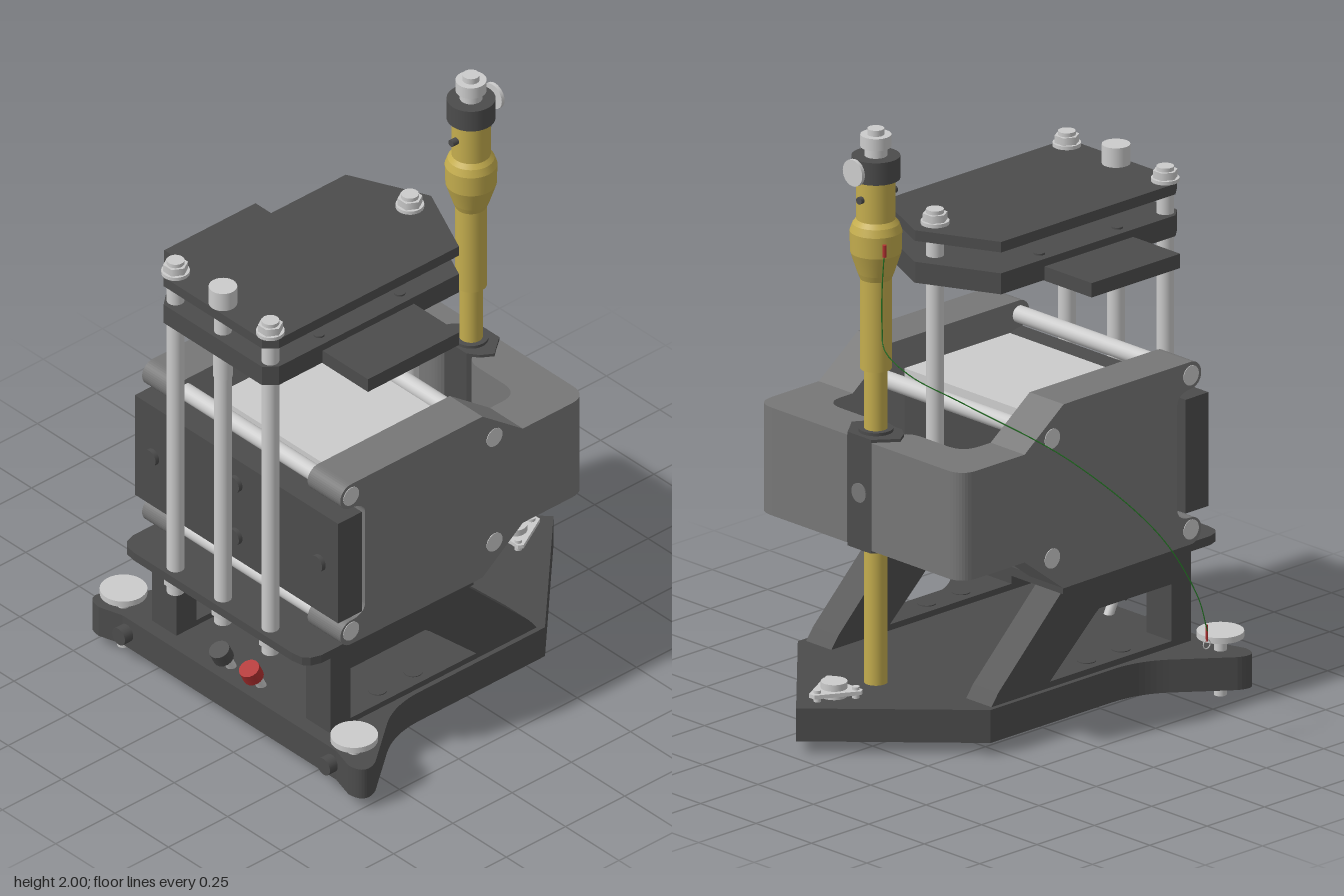
import * as THREE from 'three';

const mat = (color) => new THREE.MeshStandardMaterial({ color, side: THREE.DoubleSide });

export function createModel() {
  const DARK = mat(0x4c4c4c), MID = mat(0x777777), LIGHT = mat(0xcccccc);
  const GOLD = mat(0xc4ad4e), RED = mat(0xb03030), GREEN = mat(0x207020);

  const root = new THREE.Group();
  root.name = 'instrument';
  // everything is symmetric about this group's z = 0
  const body = new THREE.Group();
  body.name = 'body';
  body.position.z = 0.12;
  root.add(body);

  const add = (name, geo, material, x = 0, y = 0, z = 0) => {
    const m = new THREE.Mesh(geo, material);
    m.name = name;
    m.position.set(x, y, z);
    body.add(m);
    return m;
  };
  const box = (name, material, x0, x1, y0, y1, z0, z1) =>
    add(name, new THREE.BoxGeometry(x1 - x0, y1 - y0, z1 - z0), material,
      (x0 + x1) / 2, (y0 + y1) / 2, (z0 + z1) / 2);
  const cyl = (name, material, r, x, y0, y1, z, sides = 32) =>
    add(name, new THREE.CylinderGeometry(r, r, y1 - y0, sides), material, x, (y0 + y1) / 2, z);
  const rodX = (name, material, r, x0, x1, y, z) => {
    const m = add(name, new THREE.CylinderGeometry(r, r, x1 - x0, 24), material, (x0 + x1) / 2, y, z);
    m.rotation.z = Math.PI / 2;
  };
  const rodZ = (name, material, r, x, y, z0, z1) => {
    const m = add(name, new THREE.CylinderGeometry(r, r, z1 - z0, 24), material, x, y, (z0 + z1) / 2);
    m.rotation.x = Math.PI / 2;
  };
  const poly = (pts) => new THREE.Shape(pts.map((p) => new THREE.Vector2(p[0], p[1])));
  const mirrored = (pts) => poly([...pts, ...pts.slice().reverse().map(([x, z]) => [x, -z])]);
  const extrude = (shape, depth) =>
    new THREE.ExtrudeGeometry(shape, { depth, bevelEnabled: false, curveSegments: 10 });
  // shape drawn in x and z, raised from y0 to y1
  const slab = (name, material, shape, y0, y1) =>
    add(name, extrude(shape, y1 - y0).rotateX(Math.PI / 2), material, 0, y1, 0);

  // base: pointed outline with flared rear feet and a hollow underside
  const baseOutline = () => {
    const s = new THREE.Shape();
    s.moveTo(0.718, 0);
    s.lineTo(0.29, 0.435);
    s.lineTo(-0.24, 0.435);
    s.quadraticCurveTo(-0.35, 0.435, -0.43, 0.495);
    s.lineTo(-0.6, 0.628);
    s.quadraticCurveTo(-0.67, 0.665, -0.675, 0.585);
    s.lineTo(-0.65, 0.5);
    s.lineTo(-0.65, -0.5);
    s.lineTo(-0.675, -0.585);
    s.quadraticCurveTo(-0.67, -0.665, -0.6, -0.628);
    s.lineTo(-0.43, -0.495);
    s.quadraticCurveTo(-0.35, -0.435, -0.24, -0.435);
    s.lineTo(0.29, -0.435);
    return s;
  };
  const rim = baseOutline();
  rim.holes.push(mirrored([[0.66, 0.01], [0.27, 0.395], [-0.6, 0.395]]));
  slab('baseRim', DARK, rim, 0.04, 0.11);
  slab('baseTop', DARK, baseOutline(), 0.11, 0.15);
  for (const z of [-0.17, 0.17]) box('baseRib', DARK, -0.61, 0.38, 0.05, 0.11, z - 0.07, z + 0.07);

  for (const s of [-1, 1]) {
    // levelling feet and rear base bolts
    cyl('footDisc', LIGHT, 0.075, -0.61, 0.195, 0.215, s * 0.54);
    cyl('footStem', LIGHT, 0.02, -0.61, 0, 0.2, s * 0.54);
    rodX('baseBolt', DARK, 0.03, -0.685, -0.65, 0.095, s * 0.48);

    // slanted support leg with its window
    const leg = poly([[-0.6, 0.15], [0.27, 0.15], [0.24, 0.19], [-0.04, 0.46], [-0.6, 0.46]]);
    leg.holes.push(poly([[-0.515, 0.17], [0.015, 0.17], [-0.18, 0.345], [-0.2, 0.36], [-0.515, 0.36]]));
    add('leg', extrude(leg, 0.114), DARK, 0, 0, s * 0.361 - 0.057);
    for (const x of [-0.35, -0.2]) cyl('legBolt', DARK, 0.03, x, 0.16, 0.173, s * 0.361);

    // yoke side plate with rounded rear lobes
    const p = new THREE.Shape();
    p.moveTo(0, 0.49);
    p.lineTo(0.17, 0.62);
    p.lineTo(0.17, 0.98);
    p.lineTo(0, 1.105);
    p.lineTo(-0.555, 1.105);
    p.absarc(-0.555, 1.06, 0.045, Math.PI / 2, Math.PI * 1.5, false);
    p.quadraticCurveTo(-0.495, 1.01, -0.495, 0.97);
    p.lineTo(-0.495, 0.63);
    p.quadraticCurveTo(-0.495, 0.585, -0.555, 0.585);
    p.absarc(-0.555, 0.54, 0.045, Math.PI / 2, Math.PI * 1.5, false);
    add('yokeSide', extrude(p, 0.153), MID, 0, 0, s > 0 ? 0.311 : -0.464);

    // front jaw of the yoke
    const j = new THREE.Shape();
    j.moveTo(0.17, s * 0.464);
    j.lineTo(0.375, s * 0.464);
    j.quadraticCurveTo(0.443, s * 0.464, 0.443, s * 0.395);
    j.lineTo(0.443, s * 0.055);
    j.lineTo(0.36, s * 0.055);
    j.quadraticCurveTo(0.29, s * 0.055, 0.29, s * 0.125);
    j.lineTo(0.29, s * 0.24);
    j.quadraticCurveTo(0.29, s * 0.311, 0.22, s * 0.311);
    j.lineTo(0.17, s * 0.311);
    slab('yokeJaw', MID, j, 0.62, 0.98);
  }

  // tie rods through the yoke, core with its pale cover, and rear panel
  for (const [x, y] of [[-0.555, 1.06], [-0.555, 0.545], [0.05, 1.003], [0.05, 0.603]]) {
    rodZ('tieRod', LIGHT, 0.028, x, y, -0.46, 0.46);
    for (const s of [-1, 1]) rodZ('tieRodHead', LIGHT, 0.033, x, y, s * 0.461 - 0.005, s * 0.461 + 0.005);
  }
  box('core', DARK, -0.47, -0.01, 0.6, 1.0, -0.265, 0.265);
  box('coreCover', LIGHT, -0.47, -0.01, 1.0, 1.03, -0.265, 0.265);
  box('rearPanel', DARK, -0.62, -0.52, 0.61, 0.99, -0.476, 0.476);
  for (const [y, z] of [[0.8, -0.39], [0.8, 0.39], [0.7, 0], [0.9, 0]])
    rodX('panelScrew', DARK, 0.028, -0.635, -0.62, y, z);

  // clamp gripping the column
  slab('clamp', DARK, mirrored([[0.442, 0.053], [0.40, 0.085], [0.37, 0.11], [0.33, 0.085], [0.305, 0.05]]), 0.61, 0.99);
  cyl('clampRing', DARK, 0.055, 0.37, 0.6, 1.0, 0);
  rodX('clampBolt', MID, 0.032, 0.43, 0.446, 0.8, 0);

  // shelf under the yoke
  const shelf = mirrored([[-0.018, 0.442], [-0.66, 0.442], [-0.695, 0.43], [-0.713, 0.41], [-0.72, 0.37]]);
  slab('shelf', DARK, shelf, 0.46, 0.49);

  // two upper plates and the wide crosspiece
  const upper = [[0.2, 0.003], [0.08, 0.265], [-0.68, 0.265], [-0.72, 0.23]];
  slab('topPlate', DARK, mirrored(upper), 1.58, 1.615);
  slab('lowerPlate', DARK, mirrored(upper), 1.44, 1.51);
  box('crosspiece', DARK, -0.495, -0.11, 1.437, 1.485, -0.477, 0.477);
  for (const x of [-0.47, -0.13])
    for (const z of [-0.22, 0.22]) cyl('plateScrew', DARK, 0.018, x, 1.5, 1.516, z);

  // posts, with a flanged nut on each end post and a knob on the middle one
  const flangeNut = (x, z) => {
    cyl('nutFlange', LIGHT, 0.045, x, 1.615, 1.627, z);
    cyl('nut', LIGHT, 0.04, x, 1.627, 1.652, z, 6);
  };
  for (const z of [-0.222, 0, 0.222]) {
    cyl('post', LIGHT, 0.028, -0.677, 0.4, 1.665, z);
    cyl('lowerNut', LIGHT, 0.037, -0.677, 0.43, 0.46, z, 6);
    if (z) flangeNut(-0.677, z);
  }
  cyl('postKnob', LIGHT, 0.045, -0.677, 1.615, 1.68, 0);
  cyl('postSleeve', LIGHT, 0.031, -0.677, 1.34, 1.44, 0);
  cyl('frontPost', LIGHT, 0.028, 0.112, 0.59, 1.665, 0);
  flangeNut(0.112, 0);

  // brass column
  const profile = [[0, 0.15], [0.037, 0.15], [0.037, 1.2], [0.05, 1.2], [0.05, 1.5], [0.058, 1.52],
    [0.081, 1.59], [0.083, 1.66], [0.074, 1.685], [0.062, 1.7], [0.062, 1.84], [0, 1.84]];
  const crisp = [];
  profile.forEach((p, i) => { // doubled points keep the profile edges crisp
    crisp.push(new THREE.Vector2(...p));
    if (i > 0 && i < profile.length - 1) crisp.push(new THREE.Vector2(...p));
  });
  add('column', new THREE.LatheGeometry(crisp, 40), GOLD, 0.37, 0, 0);
  cyl('collar', DARK, 0.077, 0.37, 1.835, 1.91, 0);
  cyl('capNeck', LIGHT, 0.036, 0.37, 1.91, 1.94, 0);
  cyl('cap', LIGHT, 0.049, 0.37, 1.94, 1.98, 0);
  cyl('capTip', LIGHT, 0.027, 0.37, 1.98, 2.0, 0);
  rodX('collarScrew', LIGHT, 0.015, 0.42, 0.462, 1.875, 0);
  rodX('collarKnob', LIGHT, 0.044, 0.46, 0.472, 1.875, 0);
  rodX('columnPin', DARK, 0.012, 0.285, 0.445, 1.775, 0);

  // triangular bubble level near the tip of the base
  slab('levelPlate', LIGHT, mirrored([[0.65, 0.012], [0.635, 0.02], [0.515, 0.085], [0.5, 0.075]]), 0.165, 0.178);
  cyl('levelBubble', LIGHT, 0.042, 0.552, 0.15, 0.2, 0);
  for (const [x, z] of [[0.625, 0], [0.515, 0.06], [0.515, -0.06]]) cyl('levelScrew', LIGHT, 0.012, x, 0.15, 0.188, z, 16);

  // rear terminals, tilted backwards
  for (const [z, m] of [[0.075, RED], [-0.065, DARK]]) {
    const stem = cyl('terminalStem', LIGHT, 0.016, -0.6, 0.14, 0.23, z, 16);
    const knob = cyl('terminalKnob', m, 0.034, -0.625, 0.195, 0.24, z, 16);
    stem.rotation.z = knob.rotation.z = 0.45;
  }

  // thin lead hanging from the column to its lug
  const path = new THREE.CatmullRomCurve3([
    [0.41, 1.62, -0.08], [0.42, 1.5, -0.08], [0.42, 1.36, -0.08], [0.43, 1.3, -0.1], [0.40, 1.23, -0.18],
    [0.29, 1.14, -0.32], [0.07, 0.96, -0.57], [-0.12, 0.72, -0.77], [-0.2, 0.52, -0.86], [-0.225, 0.4, -0.88],
  ].map((p) => new THREE.Vector3(...p)));
  add('lead', new THREE.TubeGeometry(path, 80, 0.002, 6), GREEN);
  cyl('leadPlug', RED, 0.007, 0.41, 1.6, 1.64, -0.08, 12);
  cyl('leadSleeve', RED, 0.004, -0.226, 0.365, 0.42, -0.876, 12);
  add('leadLug', new THREE.TorusGeometry(0.015, 0.002, 6, 20), LIGHT, -0.226, 0.355, -0.876);
  return root;
}
